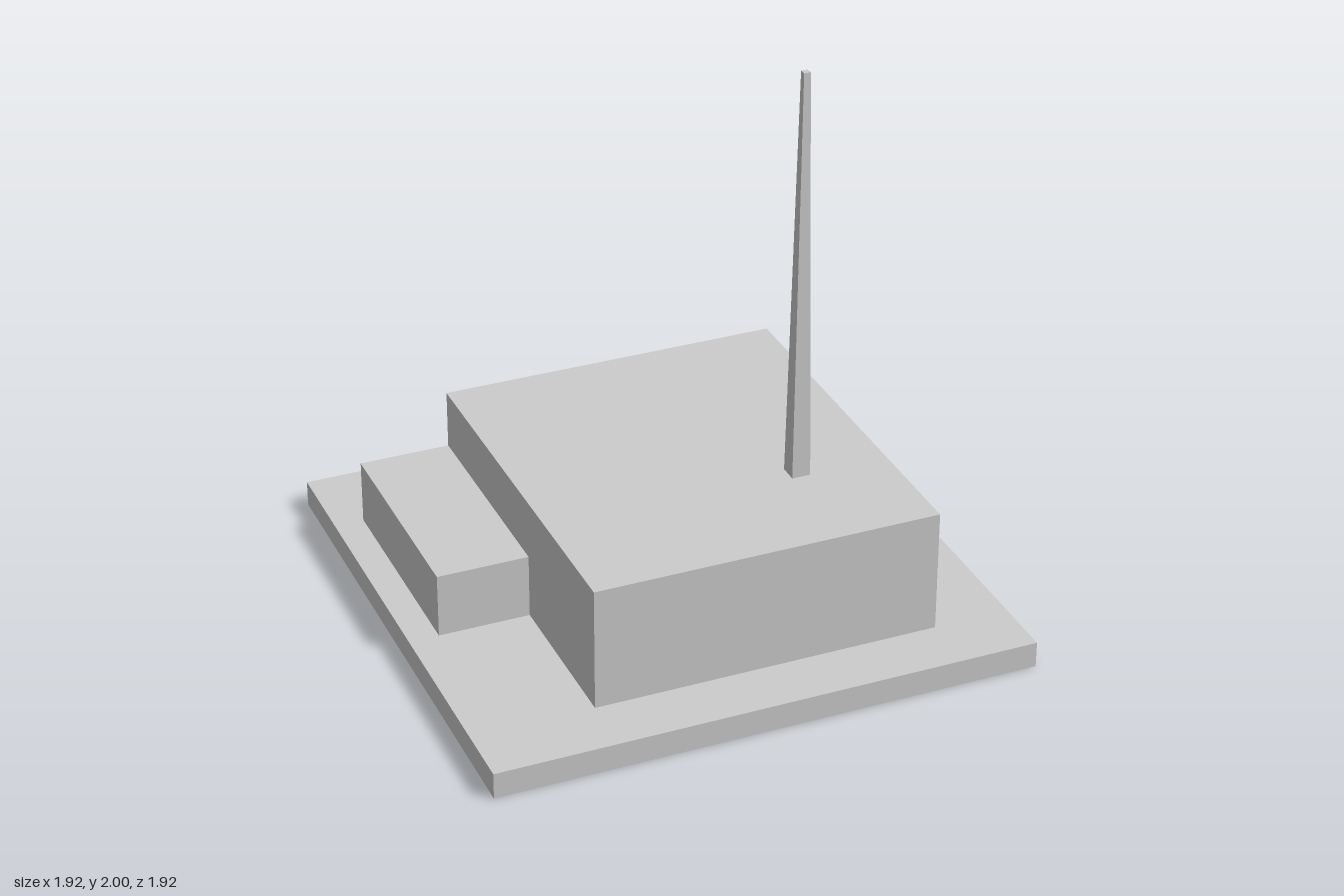
import * as THREE from 'three';

// Box given by its extents, with no underside; `taper` scales the top face
function openBox(x0, x1, y0, y1, z0, z1, taper = 1) {
  const geometry = new THREE.BoxGeometry(x1 - x0, y1 - y0, z1 - z0);
  const index = Array.from(geometry.index.array);
  index.splice(18, 6); // drop the bottom face
  geometry.setIndex(index);
  geometry.clearGroups();
  const p = geometry.attributes.position;
  for (let i = 0; i < p.count; i++) {
    if (p.getY(i) > 0) {
      p.setX(i, p.getX(i) * taper);
      p.setZ(i, p.getZ(i) * taper);
    }
  }
  geometry.computeVertexNormals();
  geometry.translate((x0 + x1) / 2, (y0 + y1) / 2, (z0 + z1) / 2);
  return geometry;
}

export function createModel() {
  const group = new THREE.Group();
  const grey = new THREE.MeshStandardMaterial({ color: 0xcccccc, side: THREE.DoubleSide });
  grey.name = 'light grey';

  const add = (name, ...extents) => {
    const mesh = new THREE.Mesh(openBox(...extents), grey);
    mesh.name = name;
    group.add(mesh);
  };

  const ground = 0.093, roof = 0.534;
  // Hollow slab, open underneath
  add('baseSlab', -0.96, 0.96, 0, ground, -0.96, 0.96);
  // Main block and the lower annex flush with its back
  add('mainBuilding', -0.532, 0.69, ground, roof, -0.639, 0.746);
  add('annex', -0.855, -0.532, ground, 0.323, -0.639, 0.155);
  // Tapered square mast on the roof
  add('mast', 0.338, 0.404, roof, 2, 0.285, 0.351, 0.35);

  return group;
}
